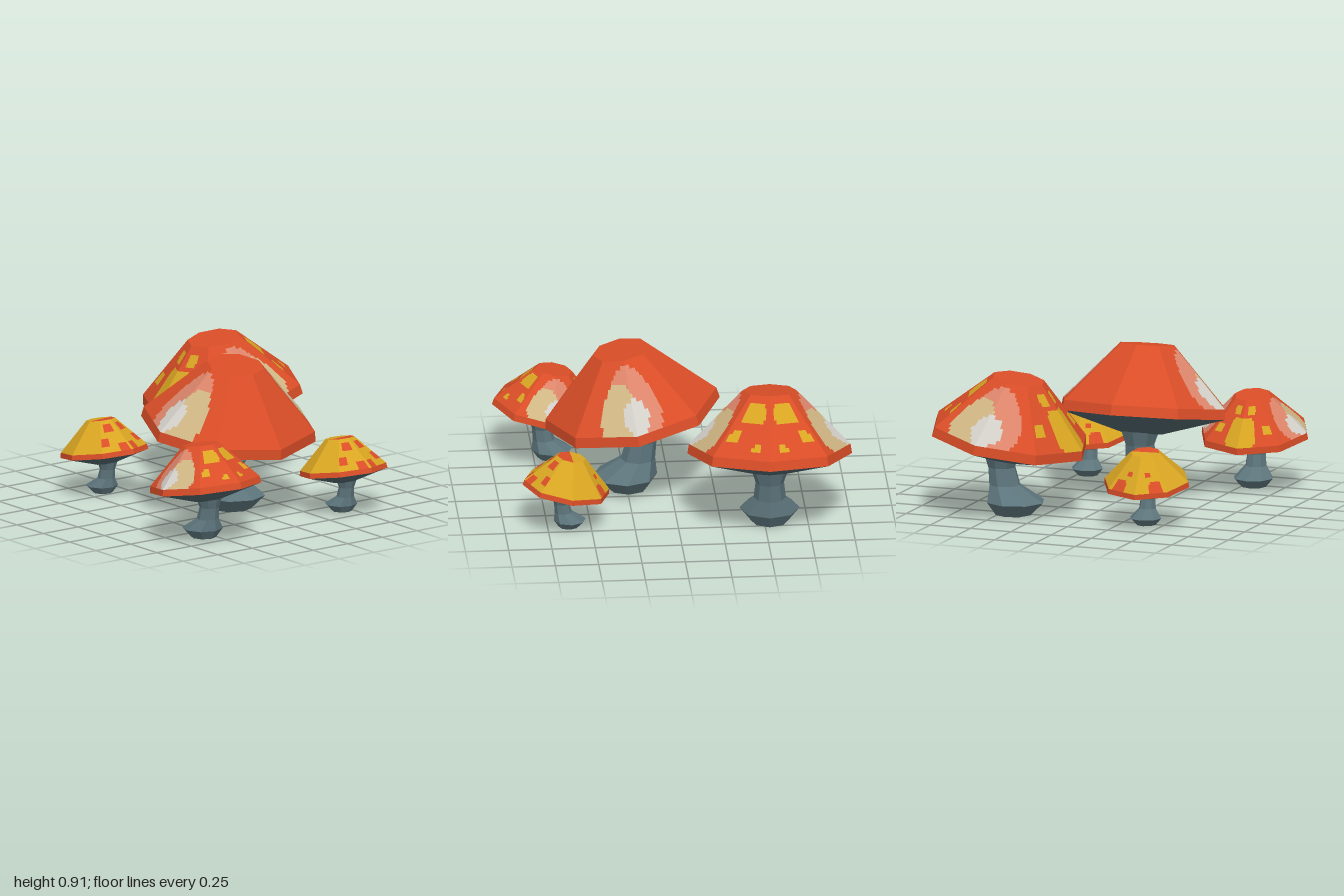
import * as THREE from 'three';

const mat = (name, color) => {
  const m = new THREE.MeshStandardMaterial({ color, flatShading: true });
  m.name = name;
  return m;
};

const SIDES = 8;
const RED = 0, YELLOW = 1, BEIGE = 2, SALMON = 3, WHITE = 4;

// Faceted loft through rings [centreX, y, radius]; pick(angle, v) chooses the
// colour of each small cell, so painted patches lie flat in the facets.
function loft(rings, cells = 1, pick = () => 0) {
  const buckets = [];
  const corner = (ring, k) => {
    const a = (k / SIDES) * Math.PI * 2;
    return new THREE.Vector3(ring[0] + ring[2] * Math.cos(a), ring[1], ring[2] * Math.sin(a));
  };
  for (let r = 0; r < rings.length - 1; r++) {
    for (let k = 0; k < SIDES; k++) {
      const b0 = corner(rings[r], k), b1 = corner(rings[r], k + 1);
      const t0 = corner(rings[r + 1], k), t1 = corner(rings[r + 1], k + 1);
      const at = (u, v) => b0.clone().lerp(b1, u).lerp(t0.clone().lerp(t1, u), v);
      for (let i = 0; i < cells; i++) {
        for (let j = 0; j < cells; j++) {
          const u0 = i / cells, u1 = (i + 1) / cells, v0 = j / cells, v1 = (j + 1) / cells;
          const m = pick((k + (u0 + u1) / 2) * 360 / SIDES, (v0 + v1) / 2);
          const list = (buckets[m] = buckets[m] || []);
          for (const [u, v] of [[u0, v0], [u0, v1], [u1, v0], [u0, v1], [u1, v1], [u1, v0]])
            list.push(...at(u, v).toArray());
        }
      }
    }
  }
  const geo = new THREE.BufferGeometry();
  const pos = [];
  buckets.forEach((list, m) => {
    geo.addGroup(pos.length / 3, list.length / 3, m);
    for (const n of list) pos.push(n);
  });
  geo.setAttribute('position', new THREE.Float32BufferAttribute(pos, 3));
  geo.computeVertexNormals();
  return geo;
}

// Patch: [colour, angle, v, half angle, half height, squareness]
function painter(base, patches) {
  return (angle, v) => {
    let colour = base;
    for (const [c, a, pv, w, h, p] of patches) {
      const d = ((angle - a + 540) % 360) - 180;
      if (Math.abs(d / w) ** p + Math.abs((v - pv) / h) ** p < 1) colour = c;
    }
    return colour;
  };
}

// Weathered blotches on both flanks; dir selects the beige side
function blotches(dir, width) {
  const list = [];
  for (const [a, s] of [[90, dir], [270, -dir]]) {
    list.push([SALMON, a, 0.42, width, 0.5, 2.5]);
    list.push([BEIGE, a + s * width * 0.5, 0.32, width * 0.62, 0.38, 2.5]);
    list.push([WHITE, a - s * 2, 0.24, width * 0.45, 0.24, 2]);
  }
  return list;
}

// Same patch on both sides of an angle
const pair = (c, a, off, v, w, h) => [[c, a - off, v, w, h, 8], [c, a + off, v, w, h, 8]];

const spots = [
  [YELLOW, 0, 0.32, 19, 0.3, 8],
  ...pair(YELLOW, 0, 16, 0.8, 8, 0.1),
  ...pair(YELLOW, 0, 37, 0.35, 5, 0.08),
  ...pair(YELLOW, 180, 22, 0.72, 15, 0.17),
  ...pair(YELLOW, 180, 36, 0.32, 5, 0.1),
  ...pair(YELLOW, 180, 12, 0.16, 4, 0.06),
];

const redPatches = [
  ...pair(RED, 180, 24, 0.74, 13, 0.14),
  ...pair(RED, 180, 38, 0.3, 8, 0.14),
  ...pair(RED, 180, 10, 0.14, 7, 0.14),
  ...pair(RED, 0, 30, 0.14, 9, 0.15),
  ...pair(RED, 0, 20, 0.5, 6, 0.08),
];

const plain = painter(RED, blotches(-1, 25));
const spotted = painter(RED, [...blotches(1, 33), ...spots]);
const yellow = painter(YELLOW, redPatches);

export function createModel() {
  const capMats = [
    mat('capRed', 0xd94d27), mat('spotYellow', 0xd8a522), mat('patchBeige', 0xd0b684),
    mat('patchSalmon', 0xdc856b), mat('patchWhite', 0xd2cec8),
  ];
  const stemMat = mat('stemGrey', 0x5c747b);
  const gillMat = mat('gillGrey', 0x50656b);

  // Shared parts
  const stemGeo = loft([
    [0.03, 0.026, 0], [0.03, 0.028, 0.115], [0.045, 0.11, 0.186], [-0.03, 0.21, 0.1],
    [-0.05, 0.32, 0.088], [-0.045, 0.41, 0.12],
  ]);
  const gillGeo = loft([[0, -0.112, 0], [0, -0.112, 0.13], [0, 0, 0.51]]);
  const rimGeo = loft([[0, 0, 0.51], [0, 0.06, 0.5]]);

  function mushroom(name, x, y, z, scale, turn, paint, crownPaint) {
    const g = new THREE.Group();
    g.name = name;
    const cap = new THREE.Group();
    cap.name = 'cap';
    cap.position.y = 0.49;
    cap.rotation.z = -0.166;
    const add = (parent, part, geo, m) => {
      const mesh = new THREE.Mesh(geo, m);
      mesh.name = part;
      parent.add(mesh);
    };
    add(g, 'stem', stemGeo, stemMat);
    add(cap, 'gills', gillGeo, gillMat);
    add(cap, 'rim', rimGeo, capMats[RED]);
    add(cap, 'capSlope', loft([[0, 0.06, 0.5], [0, 0.4, 0.167]], 16, paint), capMats);
    add(cap, 'crown', loft([[0, 0.4, 0.167], [0, 0.4, 0]], 1, crownPaint), capMats);
    g.add(cap);
    g.position.set(x, y, z);
    g.scale.setScalar(scale);
    g.rotation.y = THREE.MathUtils.degToRad(turn);
    return g;
  }

  const redCrown = () => RED;
  const halfCrown = (a) => (Math.abs(a - 180) < 80 ? RED : YELLOW);
  const model = new THREE.Group();
  model.name = 'mushroomCluster';
  model.add(
    mushroom('largeMushroom', 0.22, 0, 0.08, 1, 0, plain, redCrown),
    mushroom('backMushroom', -0.53, -0.021, -0.45, 0.93, -94, spotted, redCrown),
    mushroom('frontMushroom', 0.675, 0, 0.59, 0.635, 183, spotted, redCrown),
    mushroom('smallFrontMushroom', -0.53, -0.004, 0.405, 0.5, 185.7, yellow, halfCrown),
    mushroom('smallBackMushroom', 0.645, -0.004, -0.43, 0.5, 183.5, yellow, halfCrown),
  );
  return model;
}
